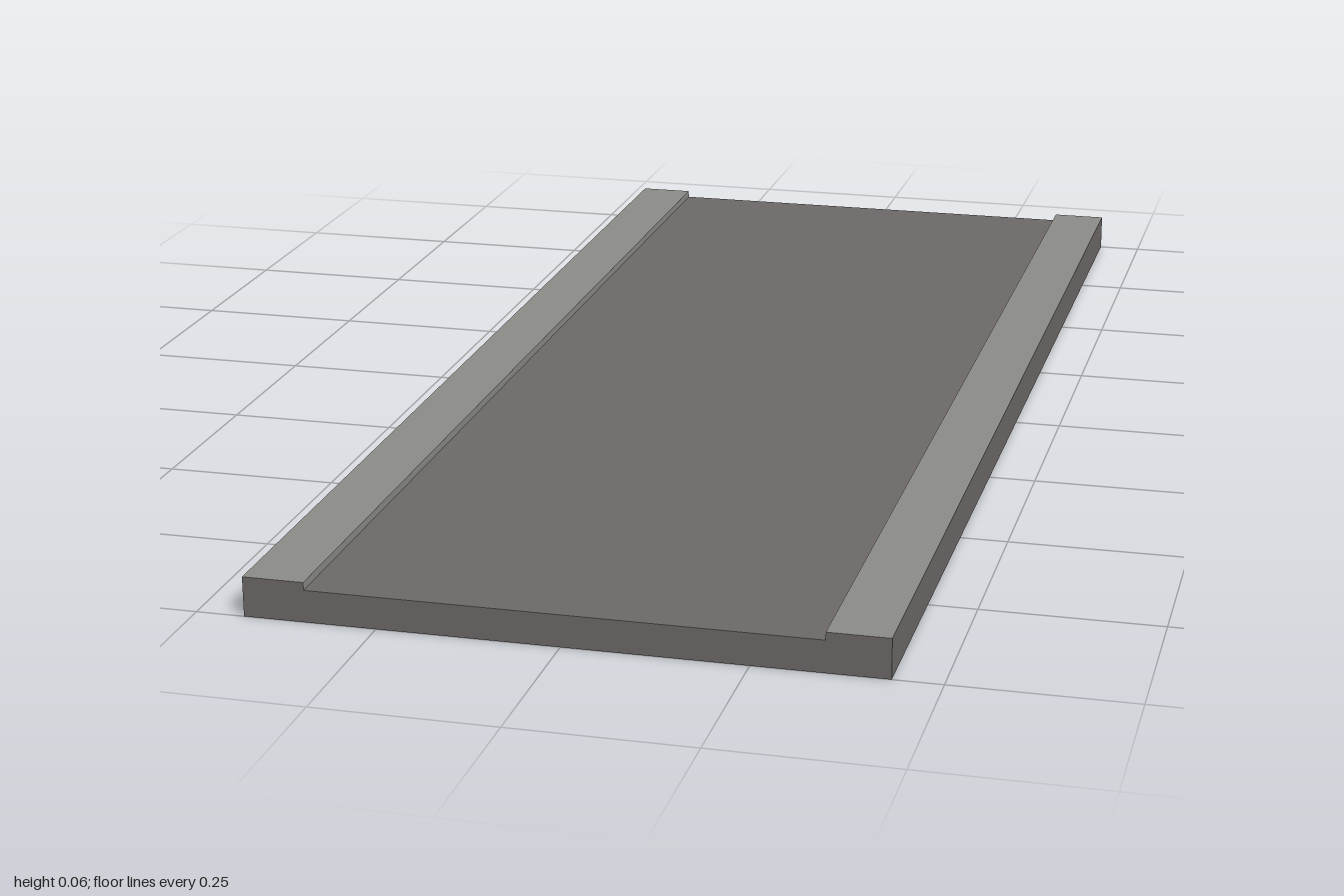
import * as THREE from 'three';

export function createModel() {
  const group = new THREE.Group();
  const asphalt = new THREE.MeshStandardMaterial({ name: 'asphalt', color: 0x6e6a69, side: THREE.DoubleSide });
  const concrete = new THREE.MeshStandardMaterial({ name: 'concrete', color: 0x8c8c89, side: THREE.DoubleSide });

  const W = 0.433, R = 0.348, L = 2, roadY = 0.045, walkY = 0.056;

  const add = (name, geometry, material) => {
    const mesh = new THREE.Mesh(geometry, material);
    mesh.name = name;
    group.add(mesh);
    return mesh;
  };
  // Horizontal face, facing up
  const deck = (name, width, x, y, material) =>
    add(name, new THREE.PlaneGeometry(width, L).rotateX(-Math.PI / 2), material).position.set(x, y, 0);
  // Long upright face, facing +x or -x
  const upright = (name, x, y0, y1, facing, material) =>
    add(name, new THREE.PlaneGeometry(L, y1 - y0).rotateY(facing * Math.PI / 2), material)
      .position.set(x, (y0 + y1) / 2, 0);

  // Road surface; the shell is open underneath
  deck('roadSurface', 2 * R, 0, roadY, asphalt);

  // Raised sidewalks, curbs and outer walls
  for (const [side, s] of [['left', 1], ['right', -1]]) {
    deck(side + 'Sidewalk', W - R, s * (W + R) / 2, walkY, concrete);
    upright(side + 'Curb', s * R, roadY, walkY, -s, concrete);
    upright(side + 'Wall', s * W, 0, walkY, s, asphalt);
  }

  // End walls follow the stepped cross-section
  const profile = new THREE.Shape([
    [-W, 0], [W, 0], [W, walkY], [R, walkY], [R, roadY], [-R, roadY], [-R, walkY], [-W, walkY],
  ].map(([x, y]) => new THREE.Vector2(x, y)));
  add('frontWall', new THREE.ShapeGeometry(profile), asphalt).position.z = L / 2;
  const back = add('backWall', new THREE.ShapeGeometry(profile), asphalt);
  back.rotation.y = Math.PI;
  back.position.z = -L / 2;

  return group;
}
